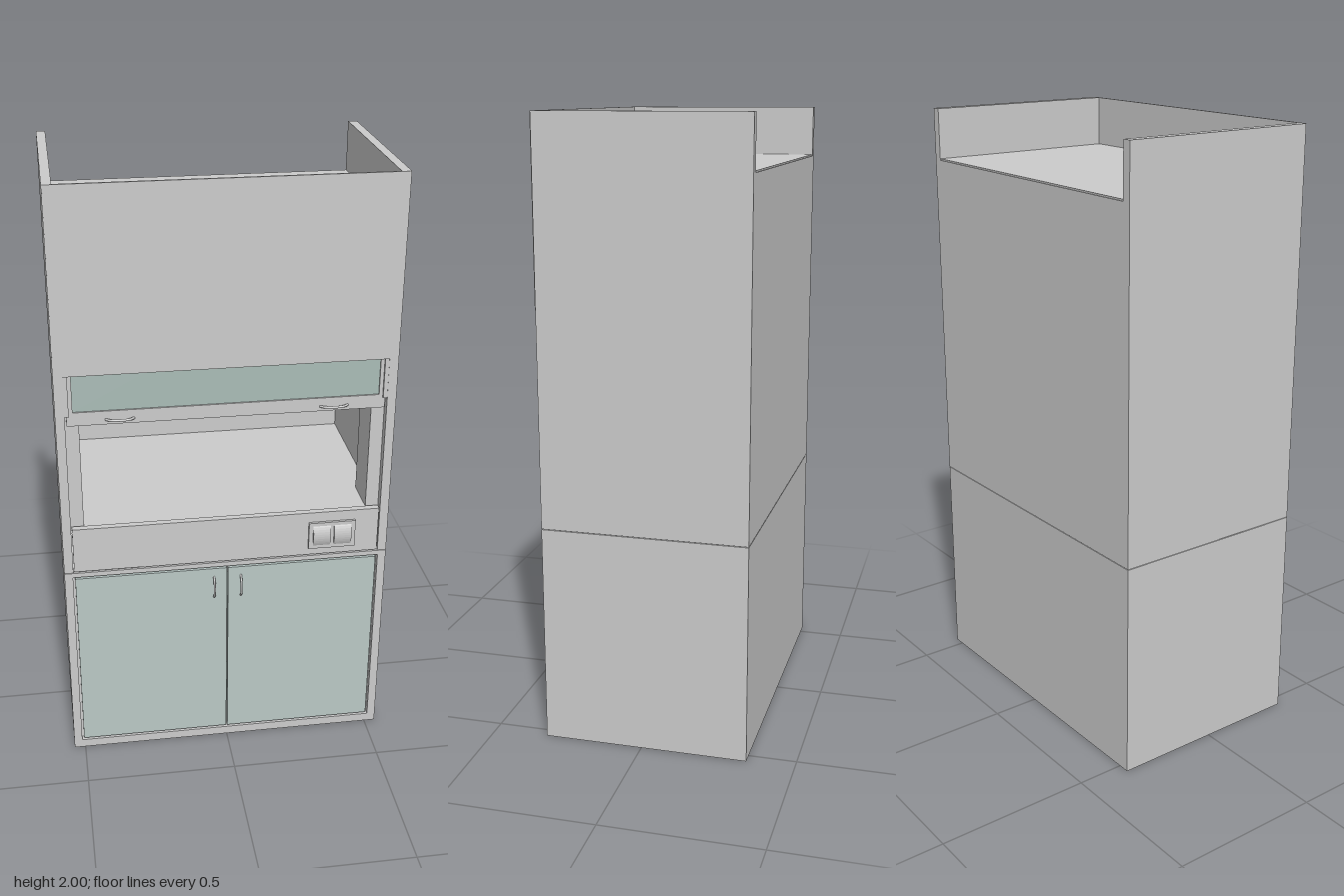
import * as THREE from 'three';

const W = 0.5375, BACK = -0.345, FRONT = 0.322, SEAM = 0.715;

export function createModel() {
  const root = new THREE.Group();
  root.name = 'fumeCupboard';
  const grey = new THREE.MeshStandardMaterial({ color: 0xcccccc });
  const doorMat = new THREE.MeshStandardMaterial({ color: 0xbac8c5 });
  const glassMat = new THREE.MeshStandardMaterial({ color: 0xaabcb7 });

  const add = (name, geometry, material = grey) => {
    const mesh = new THREE.Mesh(geometry, material);
    mesh.name = name;
    root.add(mesh);
    return mesh;
  };
  // box given by its limits on each axis
  const box = (name, x0, x1, y0, y1, z0, z1, material) => {
    const mesh = add(name, new THREE.BoxGeometry(x1 - x0, y1 - y0, z1 - z0), material);
    mesh.position.set((x0 + x1) / 2, (y0 + y1) / 2, (z0 + z1) / 2);
    return mesh;
  };
  // flat rectangular frame: outer and inner limits, extruded along z
  const frame = (name, x, y0, y1, ix, iy0, iy1, z0, z1) => {
    const rect = (T, a, b, c) => new T([[-a, b], [a, b], [a, c], [-a, c]].map((p) => new THREE.Vector2(...p)));
    const shape = rect(THREE.Shape, x, y0, y1);
    shape.holes.push(rect(THREE.Path, ix, iy0, iy1));
    add(name, new THREE.ExtrudeGeometry(shape, { depth: z1 - z0, bevelEnabled: false })).position.z = z0;
  };
  // bowed bar handle through three points
  const handle = (name, points, radius) => {
    const curve = new THREE.CatmullRomCurve3(points.map((p) => new THREE.Vector3(...p)));
    add(name, new THREE.TubeGeometry(curve, 16, radius, 8, false));
  };

  // base cabinet with framed, slightly inset double doors
  box('baseCabinet', -W, W, 0, SEAM - 0.002, BACK, FRONT - 0.02);
  frame('baseFrame', W, 0, SEAM - 0.002, 0.51, 0.03, 0.697, FRONT - 0.02, FRONT);
  for (const s of [-1, 1]) {
    const x = [s * 0.002, s * 0.503].sort((a, b) => a - b);
    box('door', x[0], x[1], 0.037, 0.69, FRONT - 0.02, FRONT - 0.001, doorMat);
    const hx = s * 0.045;
    handle('doorHandle', [
      [hx, 0.578, FRONT - 0.003], [hx, 0.592, 0.334], [hx, 0.618, 0.339],
      [hx, 0.644, 0.334], [hx, 0.658, FRONT - 0.003],
    ], 0.0035);
  }

  // upper housing: side walls rise above the sunken roof
  for (const s of [-1, 1]) {
    const x = [s * 0.508, s * W].sort((a, b) => a - b);
    box('sideWall', x[0], x[1], SEAM, 2, BACK, FRONT);
  }
  box('backWall', -0.51, 0.51, SEAM, 1.83, BACK, BACK + 0.008);
  box('roof', -0.51, 0.51, 1.822, 1.835, BACK + 0.003, FRONT - 0.002);
  box('frontPanel', -W + 0.002, W - 0.004, 1.41, 2, FRONT - 0.004, FRONT + 0.003);

  // work chamber: floor, sill, apron and corner columns
  box('housingBottom', -0.51, 0.51, SEAM, SEAM + 0.01, BACK, FRONT - 0.005);
  box('worktop', -0.51, 0.51, 0.86, 0.872, BACK + 0.008, FRONT - 0.005);
  box('sill', -0.505, 0.505, 0.868, 0.877, FRONT - 0.02, FRONT + 0.002);
  box('apron', -0.505, 0.505, SEAM + 0.003, 0.868, FRONT - 0.02, FRONT - 0.001);
  for (const s of [-1, 1]) {
    const x = [s * 0.465, s * 0.51].sort((a, b) => a - b);
    box('cornerColumn', x[0], x[1], 0.872, 1.822, 0.16, 0.295);
  }

  // sliding sash, its glass continuing up behind the front panel
  frame('sashFrame', 0.503, 1.24, 1.81, 0.483, 1.285, 1.79, 0.297, 0.314);
  box('sashGlass', -0.484, 0.484, 1.284, 1.791, 0.303, 0.309, glassMat);
  for (const s of [-1, 1]) {
    const x = [s * 0.495, s * 0.508].sort((a, b) => a - b);
    box('sashGuide', x[0], x[1], 1.275, 1.41, 0.312, FRONT - 0.001);
    const c = s * 0.338;
    handle('sashHandle', [
      [c - 0.044, 1.256, 0.313], [c - 0.03, 1.258, 0.327], [c, 1.258, 0.331],
      [c + 0.03, 1.258, 0.327], [c + 0.044, 1.256, 0.313],
    ], 0.004);
  }

  // socket plate with two bowed covers
  box('socketPlate', 0.27, 0.426, 0.744, 0.84, FRONT - 0.004, 0.33);
  const bow = new THREE.Shape();
  bow.moveTo(0.328, 0.752);
  bow.quadraticCurveTo(0.35, 0.792, 0.328, 0.832);
  bow.closePath();
  for (const x of [0.284, 0.354]) {
    // profile lies in z-y, so turn its depth onto the x axis
    const cover = add('socketCover', new THREE.ExtrudeGeometry(bow, { depth: 0.058, bevelEnabled: false, curveSegments: 10 }));
    cover.rotation.y = -Math.PI / 2;
    cover.position.x = x + 0.058;
  }
  return root;
}
